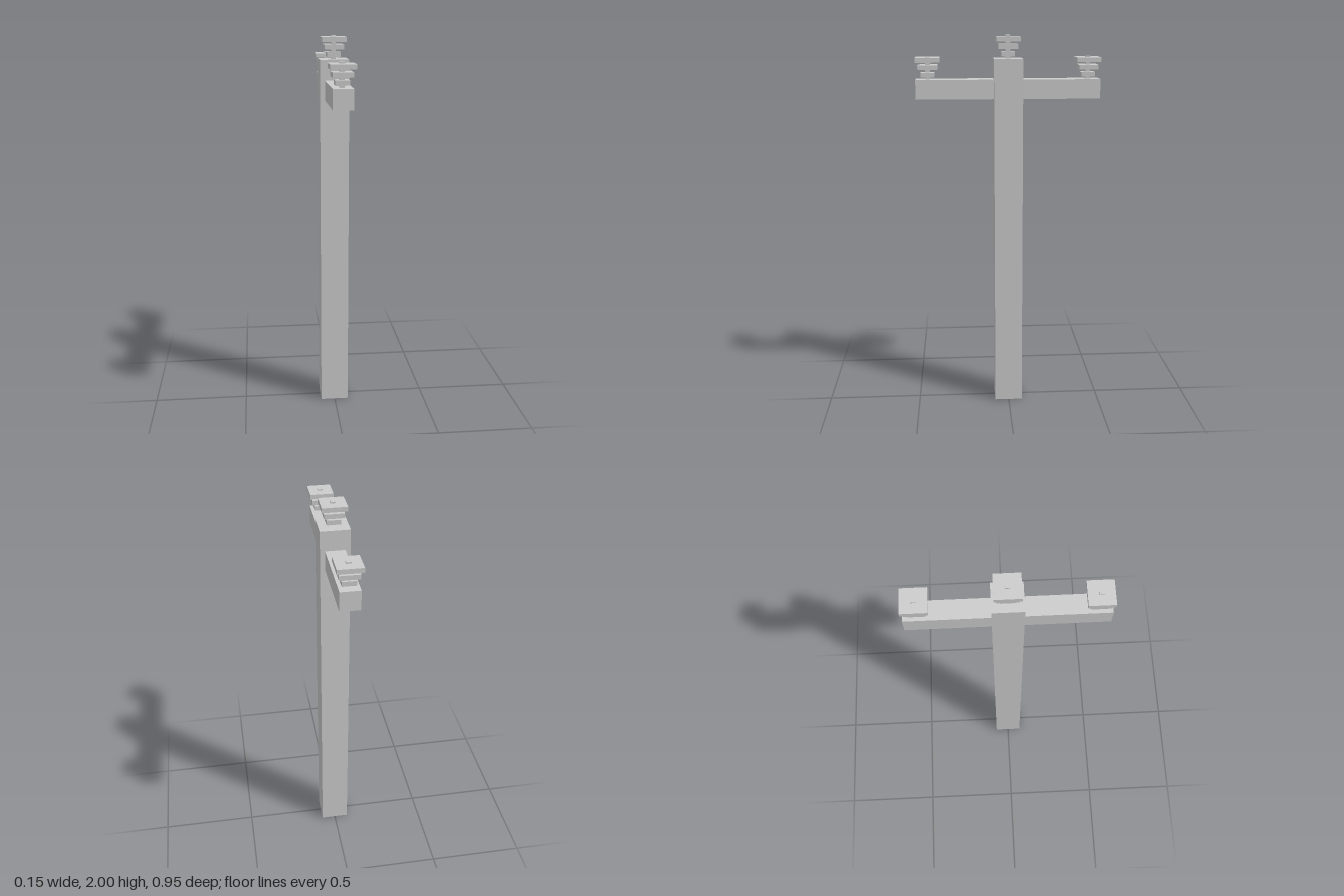
import * as THREE from 'three';

const material = new THREE.MeshStandardMaterial({ color: 0xcccccc, flatShading: true });

// Box standing on height y, centred on x and z
function block(name, width, height, depth, y) {
  const mesh = new THREE.Mesh(new THREE.BoxGeometry(width, height, depth), material);
  mesh.name = name;
  mesh.position.y = y + height / 2;
  return mesh;
}

// Square stem carrying three plates that widen upwards
function insulator(name, y, z) {
  const group = new THREE.Group();
  group.name = name;
  group.add(block('stem', 0.024, 0.117, 0.024, 0));
  [0.07, 0.099, 0.124].forEach((size, i) => {
    group.add(block('plate', size, 0.0235, size, 0.0115 + i * 0.0375));
  });
  group.position.set(0, y, z);
  return group;
}

export function createModel() {
  const model = new THREE.Group();
  model.name = 'utilityPole';

  const postTop = 1.883;
  const armTop = 1.779;

  model.add(block('post', 0.148, postTop, 0.148, 0));
  model.add(block('crossArm', 0.099, 0.099, 0.948, armTop - 0.099));

  // Insulators on the post and both arm ends
  model.add(insulator('topInsulator', postTop, 0));
  model.add(insulator('frontInsulator', armTop, 0.412));
  model.add(insulator('backInsulator', armTop, -0.412));

  return model;
}
